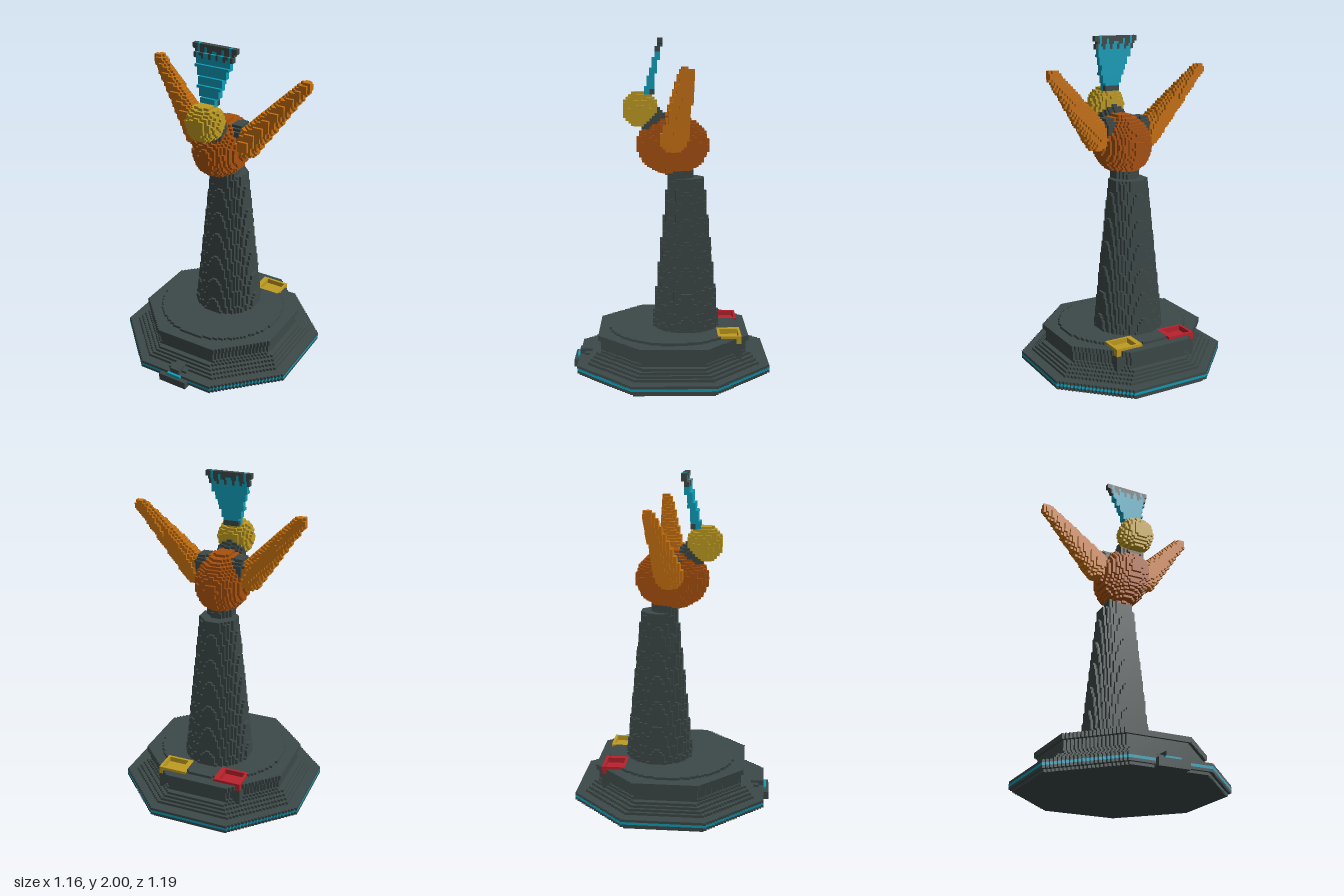
import * as THREE from 'three';

const N = 64;            // blocks per unit
const V = 1 / N;
const CZ = -V;           // centre of the plinth in z

const mat = (name, color) => {
  const m = new THREE.MeshStandardMaterial({ color });
  m.name = name;
  return m;
};

// Shape rules: each returns a test for a point being inside
const box = (x0, x1, y0, y1, z0, z1) => (x, y, z) =>
  x > x0 && x < x1 && y > y0 && y < y1 && z > z0 && z < z1;
const ellipsoid = (cx, cy, cz, rx, ry, rz) => (x, y, z) =>
  ((x - cx) / rx) ** 2 + ((y - cy) / ry) ** 2 + ((z - cz) / rz) ** 2 < 1;
// Tapered rod with round ends
const rod = (a, b, ra, rb) => {
  const A = new THREE.Vector3(...a), D = new THREE.Vector3(...b).sub(A), p = new THREE.Vector3();
  return (x, y, z) => {
    p.set(x, y, z).sub(A);
    const t = THREE.MathUtils.clamp(p.dot(D) / D.lengthSq(), 0, 1);
    return p.addScaledVector(D, -t).length() < ra + (rb - ra) * t;
  };
};
// Upright cone
const cone = (cz, y0, r0, y1, r1) => (x, y, z) =>
  y > y0 && y < y1 && Math.hypot(x, z - cz) < r0 + (r1 - r0) * (y - y0) / (y1 - y0);
const octagon = (x, z) => {
  const a = Math.abs(x), b = Math.abs(z - CZ);
  return Math.max(a, b, (a + b) * Math.SQRT1_2);
};
const either = (...tests) => (x, y, z) => tests.some((t) => t(x, y, z));
const mirrored = (t) => (x, y, z) => t(Math.abs(x), y, z);

// Half width of the stepped octagonal plinth at each height
function plinthWidth(y) {
  if (y < 0.0156) return 0.563;
  if (y < 0.0625) return 0.579;
  if (y < 0.14) return 0.52 - (y - 0.07) * 1.2;
  if (y < 0.2) return 0.438;
  if (y < 0.234) return 0.455;
  return 0;
}

// Fan crest and its dark feather ends
function crest(x, y, z) {
  const u = (y - 1.67) / 0.33;
  if (u < 0 || u > 1) return false;
  const width = y > 1.97 ? 0.145 - (y - 1.97) * 0.4 : 0.047 + 0.1 * u ** 1.25;
  return Math.abs(x) < width && Math.abs(z - 0.135 + 0.075 * u) < 0.015 + 0.015 * (1 - u) ** 2;
}
function crestTips(x, y, z) {
  if (y < 1.925 || !crest(x, y, z)) return false;
  const d = Math.abs((Math.abs(x) % 0.05) - 0.025);
  return d < 0.008 + (y - 1.925) * 0.2;
}

// Six faces of a block: outward direction and two edge directions
const FACES = [];
for (let a = 0; a < 3; a++) for (const s of [1, -1]) {
  const n = [0, 0, 0], u = [0, 0, 0], v = [0, 0, 0];
  n[a] = s;
  u[(a + 1) % 3] = 1;
  v[(a + 2) % 3] = 1;
  FACES.push({ n, u: s > 0 ? u : v, v: s > 0 ? v : u });
}

export function createModel() {
  const dark = mat('dark slate', 0x3d4948);
  const rust = mat('rust orange', 0xa8510d);
  const orange = mat('orange', 0xc8710f);
  const gold = mat('gold', 0xc09c22);
  const cyan = mat('cyan', 0x0e9fbb);
  const red = mat('red', 0xba222d);

  const tray = (x0, x1) => box(x0, x1, 0.203, 0.25, -0.422, -0.274);
  // Later parts replace earlier ones where they overlap
  const parts = [
    ['plinth', dark, either(
      (x, y, z) => octagon(x, z) < plinthWidth(y),
      cone(CZ, 0.2, 0.392, 0.25, 0.392))],
    ['plinthTrim', cyan, (x, y, z) =>
      y > 0.031 && y < 0.047 && octagon(x, z) < 0.579 && octagon(x, z) > 0.545],
    ['frontStep', dark, either(
      box(-0.1, 0.1, 0, 0.047, 0.54, 0.594),
      box(-0.032, 0.032, 0.04, 0.094, 0.44, 0.563),
      box(-0.063, 0.063, 0.06, 0.078, 0.44, 0.53))],
    ['stepStrip', cyan, box(-0.05, 0.05, 0.031, 0.063, 0.563, 0.579)],
    ['traySupports', dark, mirrored(box(0.1, 0.27, 0.06, 0.22, -0.422, -0.274))],
    ['redTray', red, tray(-0.27, -0.1)],
    ['goldTray', gold, tray(0.1, 0.27)],
    ['trayHollows', null, mirrored(box(0.125, 0.25, 0.22, 0.27, -0.4, -0.3))],
    ['column', dark, either(
      cone(-0.094, 0.23, 0.207, 1.165, 0.11),
      rod([0, 1.15, -0.06], [0, 1.3, -0.05], 0.08, 0.08))],
    ['shoulders', dark, mirrored(ellipsoid(0.1, 1.455, -0.03, 0.055, 0.08, 0.085))],
    ['neck', dark, rod([0, 1.45, 0.07], [0, 1.58, 0.14], 0.1, 0.06)],
    ['body', rust, ellipsoid(0, 1.37, -0.0156, 0.156, 0.178, 0.218)],
    ['shoulderPatches', dark, mirrored(ellipsoid(0.125, 1.47, -0.03, 0.035, 0.065, 0.085))],
    ['wings', orange, mirrored(rod([0.165, 1.42, -0.02], [0.485, 1.798, -0.095], 0.084, 0.034))],
    ['head', gold, ellipsoid(0, 1.585, 0.18, 0.107, 0.107, 0.107)],
    ['crest', cyan, crest],
    ['crestTips', dark, crestTips],
    ['crestRoot', dark, box(-0.047, 0.047, 1.672, 1.703, 0.094, 0.125)],
  ];

  // Fill the block grid
  const H = 40, NY = 128, W = 2 * H;
  const grid = new Uint8Array(W * NY * W);
  const at = (i, j, k) => (i < 0 || j < 0 || k < 0 || i >= W || j >= NY || k >= W
    ? 0 : grid[(j * W + k) * W + i]);
  parts.forEach(([, material, inside], p) => {
    for (let j = 0; j < NY; j++) for (let k = 0; k < W; k++) for (let i = 0; i < W; i++) {
      if (inside((i - H + 0.5) * V, (j + 0.5) * V, (k - H + 0.5) * V)) {
        grid[(j * W + k) * W + i] = material ? p + 1 : 0;
      }
    }
  });

  // Collect the exposed block faces of every part
  const data = parts.map(() => ({ pos: [], nor: [], idx: [] }));
  for (let j = 0; j < NY; j++) for (let k = 0; k < W; k++) for (let i = 0; i < W; i++) {
    const id = at(i, j, k);
    if (!id) continue;
    const { pos, nor, idx } = data[id - 1];
    for (const { n, u, v } of FACES) {
      if (at(i + n[0], j + n[1], k + n[2])) continue;
      const first = pos.length / 3, cell = [i - H, j, k - H];
      for (const [a, b] of [[0, 0], [1, 0], [1, 1], [0, 1]]) {
        for (let c = 0; c < 3; c++) pos.push((cell[c] + Math.max(n[c], 0) + a * u[c] + b * v[c]) * V);
        nor.push(...n);
      }
      idx.push(first, first + 1, first + 2, first, first + 2, first + 3);
    }
  }

  const group = new THREE.Group();
  group.name = 'birdOnColumn';
  parts.forEach(([name, material], p) => {
    const { pos, nor, idx } = data[p];
    if (!idx.length) return;
    const g = new THREE.BufferGeometry();
    g.setAttribute('position', new THREE.Float32BufferAttribute(pos, 3));
    g.setAttribute('normal', new THREE.Float32BufferAttribute(nor, 3));
    g.setIndex(idx);
    const mesh = new THREE.Mesh(g, material);
    mesh.name = name;
    group.add(mesh);
  });
  return group;
}
